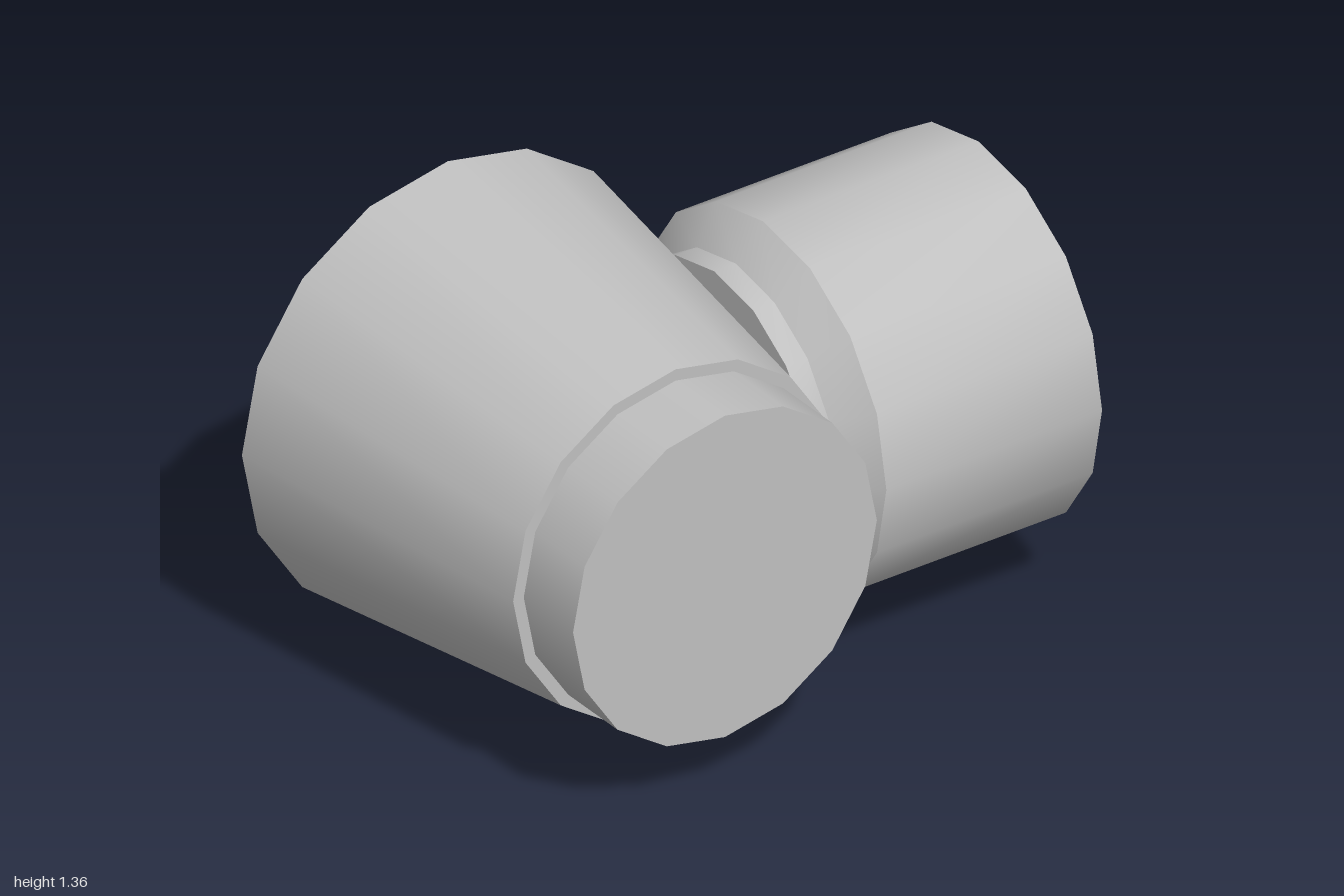
import * as THREE from 'three';
import { toCreasedNormals } from 'three/addons/utils/BufferGeometryUtils.js';

const SIDES = 16;
const MID_Y = 0.68;

export function createModel() {
  const group = new THREE.Group();
  const grey = new THREE.MeshStandardMaterial({ color: 0xc0c0c0 });
  grey.name = 'plain grey';

  const add = (name, geometry, x, y, z) => {
    const mesh = new THREE.Mesh(geometry, grey);
    mesh.name = name;
    mesh.position.set(x, y, z);
    group.add(mesh);
  };

  // Tapered sleeve, wider at the back
  add('taperedSleeve',
    new THREE.CylinderGeometry(0.535, 0.678, 1.04, SIDES).rotateX(Math.PI / 2),
    -0.322, MID_Y, -0.07);

  // Straight pin through the sleeve, showing at both ends
  add('pin',
    new THREE.CylinderGeometry(0.5, 0.5, 1.35, SIDES).rotateX(Math.PI / 2),
    -0.322, MID_Y, 0);

  // Side socket: neck, chamfer, barrel and blind bore
  const profile = [
    [0, 0.13], [0.463, 0.13], [0.463, 0.2], [0.563, 0.29], [0.563, 1],
    [0.345, 1], [0.345, 0.82], [0, 0.82],
  ].map(([r, x]) => new THREE.Vector2(r, x));
  const socket = new THREE.LatheGeometry(profile, SIDES).rotateZ(-Math.PI / 2);
  add('sideSocket', toCreasedNormals(socket, 0.6), 0, MID_Y, 0);

  // Stop tab with a rounded lower end, behind the socket
  const tab = new THREE.Shape();
  tab.moveTo(0.2, 0.25);
  tab.lineTo(0.2, 0.66);
  tab.lineTo(0.1, 0.66);
  tab.lineTo(0.1, 0.25);
  tab.absarc(0.15, 0.25, 0.05, Math.PI, Math.PI * 2, false);
  const tabGeometry = new THREE.ExtrudeGeometry(tab, {
    depth: 0.42, bevelEnabled: false, curveSegments: 4,
  });
  add('stopTab', toCreasedNormals(tabGeometry, 0.8), 0, 0, -0.52);

  return group;
}
